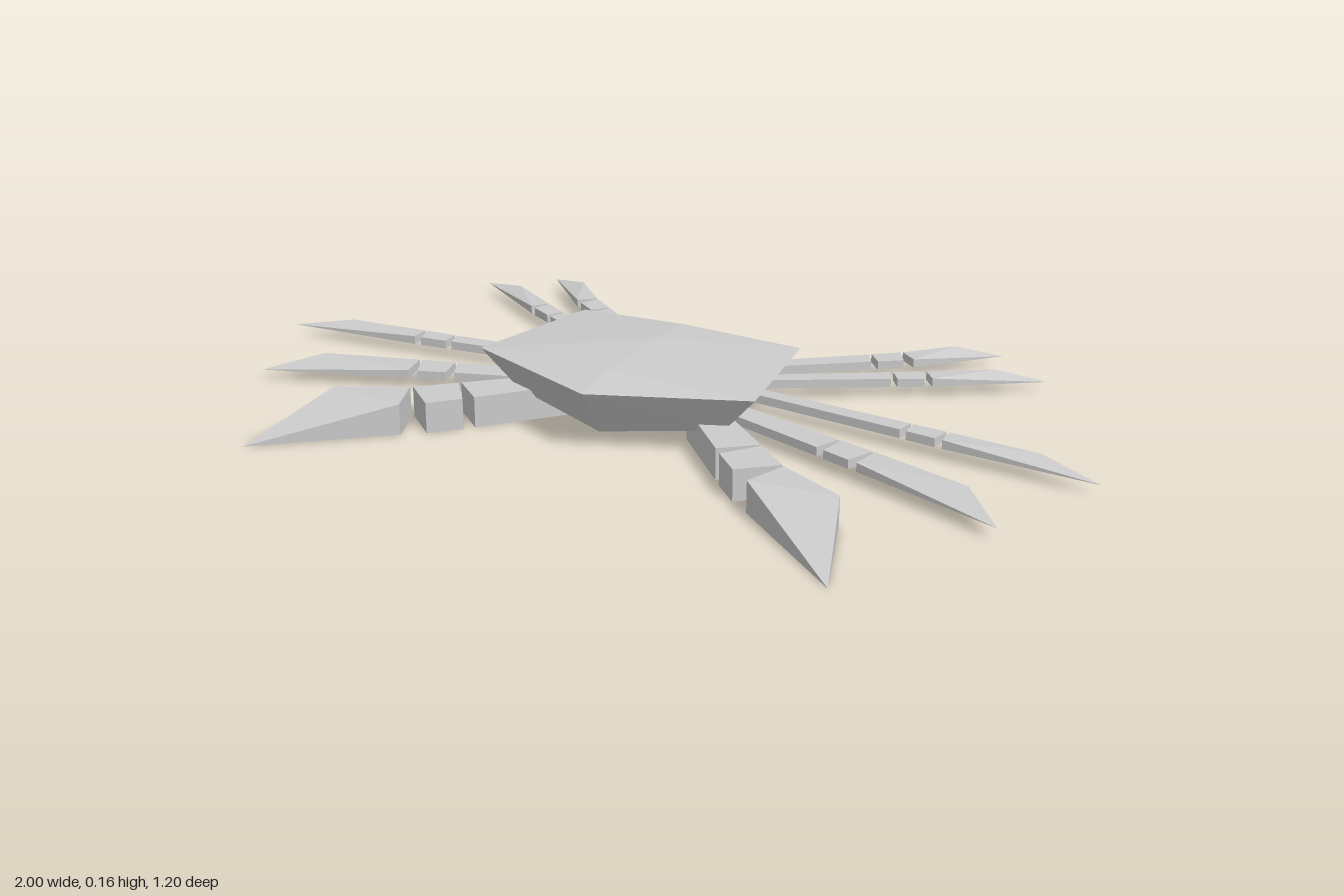
import * as THREE from 'three';

const material = new THREE.MeshStandardMaterial({ color: 0xcccccc, flatShading: true });

// Flat-shaded mesh from triangles of points; side = -1 mirrors it across x = 0
function meshFrom(name, tris, sides) {
  const pos = [];
  for (const side of sides) {
    for (const [a, b, c] of tris) {
      for (const p of side > 0 ? [a, b, c] : [a, c, b]) pos.push(p[0] * side, p[1], p[2]);
    }
  }
  const g = new THREE.BufferGeometry();
  g.setAttribute('position', new THREE.Float32BufferAttribute(pos, 3));
  g.computeVertexNormals();
  const mesh = new THREE.Mesh(g, material);
  mesh.name = name;
  return mesh;
}

// Upright prism over an [x, z] outline; a pointed one drops its last corner to the bottom
function prism(outline, y0, y1, pointed = false) {
  const n = outline.length;
  const low = outline.map(([x, z]) => [x, y0, z]);
  const top = outline.map(([x, z], i) => [x, pointed && i === n - 1 ? y0 : y1, z]);
  const tris = [];
  for (let i = 1; i < n - 1; i++) {
    tris.push([top[0], top[i + 1], top[i]], [low[0], low[i], low[i + 1]]);
  }
  for (let i = 0; i < n; i++) {
    const j = (i + 1) % n;
    tris.push([top[i], top[j], low[j]], [top[i], low[j], low[i]]);
  }
  return tris;
}

// Point at distance along the line from a to b, shifted across it towards the front
function along(a, b, dist, across) {
  const len = Math.hypot(b[0] - a[0], b[1] - a[1]);
  const u = [(b[0] - a[0]) / len, (b[1] - a[1]) / len];
  return [a[0] + u[0] * dist - u[1] * across, a[1] + u[1] * dist + u[0] * across];
}

// Three jointed segments; root, bend and knee lie on the rear edge of the limb
function limb(name, side, { root, bend, knee, tip, width, mid, y }) {
  const group = new THREE.Group();
  group.name = name;
  const length = Math.hypot(bend[0] - root[0], bend[1] - root[1]);
  const gap = 0.006, notch = width * 0.15;
  const end = length - mid - 2 * gap;
  const at = (d, w) => along(root, bend, d, w);
  const upper = [at(0, width * 0.7), root, at(end, 0), at(end - notch, width * 0.92)];
  const joint = [
    at(end + gap + notch * 0.3, width * 0.95), at(end + gap, 0),
    at(length - gap, 0), at(length - gap - notch, width),
  ];
  const claw = [along(bend, knee, notch * 0.6, width), bend, knee, tip];
  group.add(
    meshFrom('upperSegment', prism(upper, ...y), [side]),
    meshFrom('middleSegment', prism(joint, ...y), [side]),
    meshFrom('tipSegment', prism(claw, ...y, true), [side]),
  );
  return group;
}

// Faceted carapace: half of it is listed and mirrored
function shell() {
  const ridge = [[0, 0.16, 0.21], [0, 0.163, 0], [0, 0.15, -0.14]];
  const rim = [[0, 0.145, 0.32], [0.33, 0.145, 0.19], [0.275, 0.13, -0.17], [0, 0.068, -0.31]];
  const base = [[0, 0.035, 0.25], [0.25, 0.055, 0.165], [0.21, 0.05, -0.14], [0, 0.05, -0.22]];
  const belly = [0, 0.042, 0];
  const [a, b, c] = ridge, [F, S, Q, N] = rim;
  const tris = [[a, F, S], [a, S, b], [b, S, Q], [b, Q, c], [c, Q, N]];
  for (let i = 0; i < 3; i++) {
    tris.push([rim[i], base[i], base[i + 1]], [rim[i], base[i + 1], rim[i + 1]]);
    tris.push([belly, base[i + 1], base[i]]);
  }
  return meshFrom('shell', tris, [1, -1]);
}

export function createModel() {
  const model = new THREE.Group();
  model.name = 'crab';
  model.add(shell());

  const y = [0.025, 0.045];
  const limbs = {
    rearLeg: { root: [0.07, -0.205], bend: [0.41, -0.465], knee: [0.505, -0.56], tip: [0.61, -0.6], width: 0.05, mid: 0.07, y },
    rearMiddleLeg: { root: [0.1, -0.135], bend: [0.5, -0.375], knee: [0.635, -0.46], tip: [0.75, -0.49], width: 0.045, mid: 0.07, y },
    frontMiddleLeg: { root: [0.1, -0.112], bend: [0.66, -0.067], knee: [0.86, -0.05], tip: [1, 0], width: 0.045, mid: 0.075, y },
    frontLeg: { root: [0.1, -0.03], bend: [0.56, 0.1], knee: [0.78, 0.168], tip: [0.875, 0.28], width: 0.068, mid: 0.08, y },
    pincer: { root: [0.19, 0.075], bend: [0.445, 0.3], knee: [0.594, 0.374], tip: [0.667, 0.603], width: 0.1, mid: 0.1, y: [0, 0.07] },
  };
  for (const [name, spec] of Object.entries(limbs)) {
    model.add(limb(name + 'Left', 1, spec), limb(name + 'Right', -1, spec));
  }
  return model;
}
